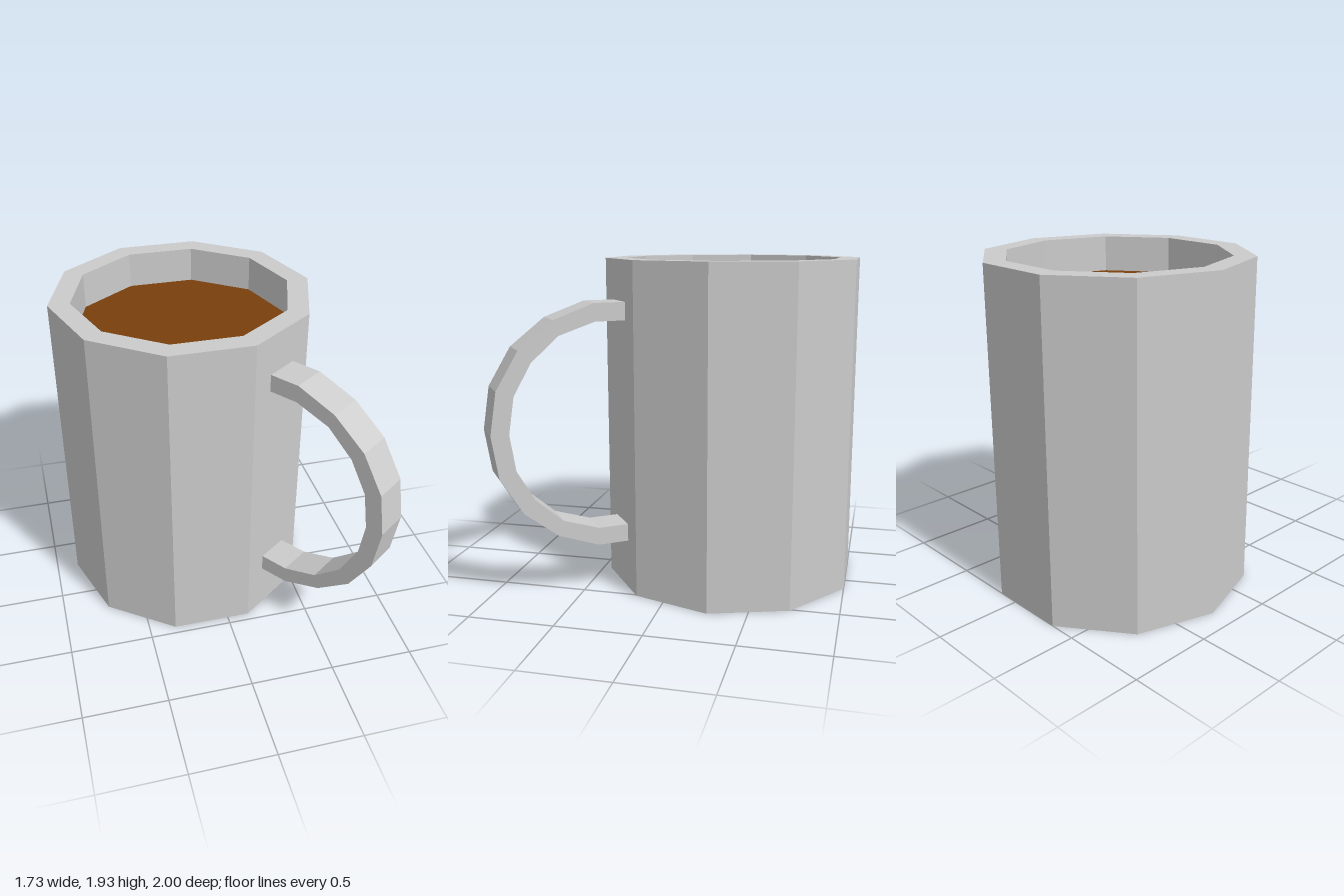
import * as THREE from 'three';

const SIDES = 10;
const HEIGHT = 1.935, OUTER = 0.763, INNER = 0.637, LIQUID_Y = 1.725;

export function createModel() {
  const group = new THREE.Group();
  group.name = 'mug';
  const grey = new THREE.MeshStandardMaterial({ color: 0xcccccc, flatShading: true, side: THREE.DoubleSide });
  const brown = new THREE.MeshStandardMaterial({ color: 0x7a3f0d, flatShading: true, side: THREE.DoubleSide });

  const add = (name, geometry, material) => {
    const mesh = new THREE.Mesh(geometry, material);
    mesh.name = name;
    group.add(mesh);
    return mesh;
  };

  // Body: open-bottomed outer wall, flat rim and inner wall down to the drink
  const profile = [[OUTER, 0], [OUTER, HEIGHT], [INNER, HEIGHT], [INNER, LIQUID_Y]]
    .map(([r, y]) => new THREE.Vector2(r, y));
  add('body', new THREE.LatheGeometry(profile, SIDES, Math.PI / 2), grey);

  // Drink surface
  const disc = new THREE.CircleGeometry(INNER, SIDES).rotateX(-Math.PI / 2);
  add('drink', disc, brown).position.y = LIQUID_Y;

  // Handle: upper halves of the outer and inner curves (distance, height above middle), mirrored below
  const outerCurve = [[0.72, 0.703], [0.905, 0.703], [1.14, 0.617], [1.338, 0.46], [1.466, 0.245], [1.504, 0]];
  const innerCurve = [[0.72, 0.6], [0.9, 0.6], [1.11, 0.53], [1.268, 0.39], [1.37, 0.21], [1.402, 0]];
  const mirrored = (half) => [...half, ...half.slice(0, -1).reverse().map(([r, y]) => [r, -y])];
  const outline = [...mirrored(outerCurve), ...mirrored(innerCurve).reverse()]
    .map(([r, y]) => new THREE.Vector2(r, y));
  const handleGeo = new THREE.ExtrudeGeometry(new THREE.Shape(outline), { depth: 0.2, bevelEnabled: false });
  handleGeo.translate(0, 0.998, -0.1);
  // It sits square on one of the flat sides
  add('handle', handleGeo, grey).rotation.y = -THREE.MathUtils.degToRad(54);

  group.children.forEach((part) => {
    part.position.x = -0.104;
    part.position.z = -0.275;
  });
  return group;
}
